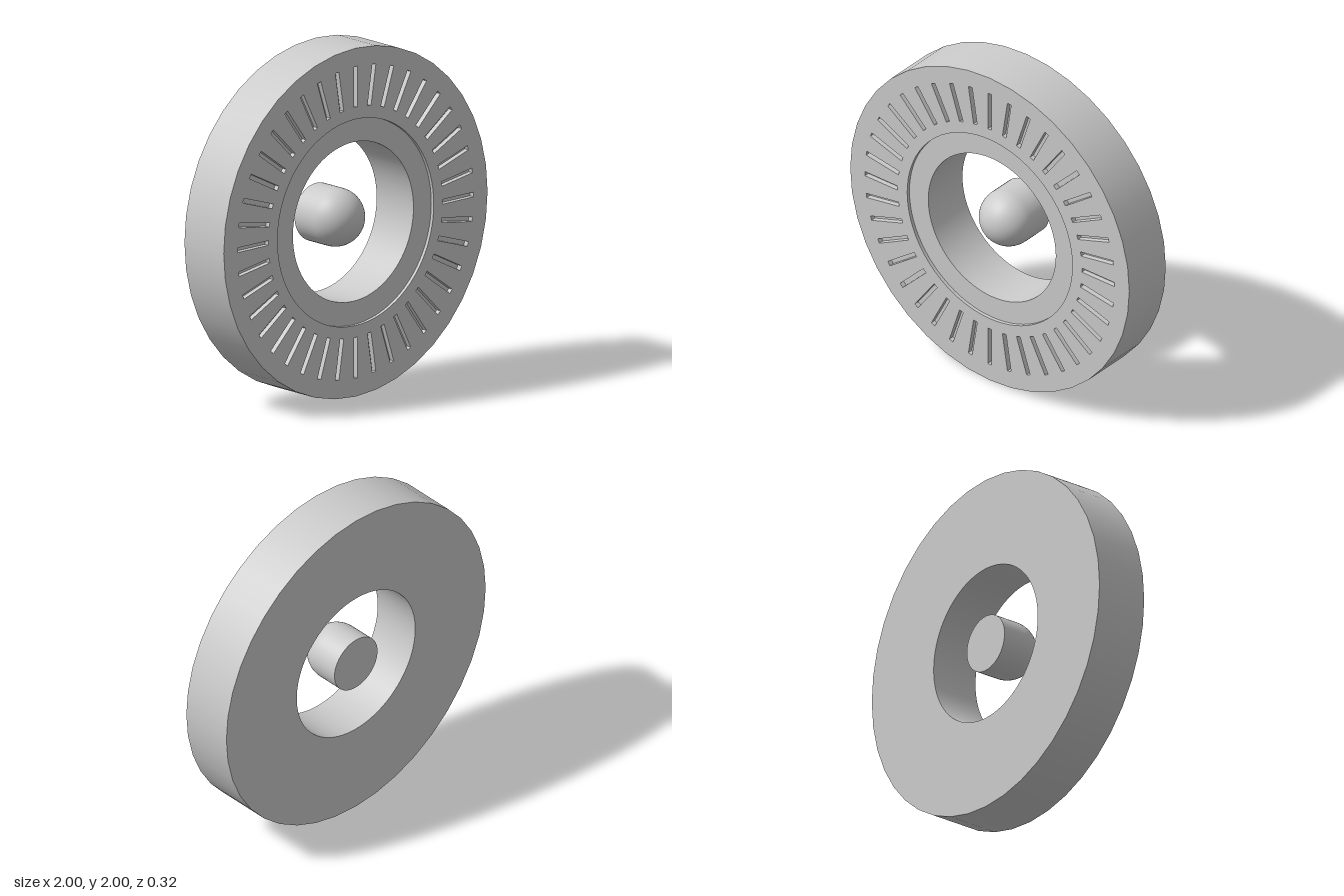
import * as THREE from 'three';

const HALF = 0.16;          // half thickness of the disc
const R_OUT = 1, R_STEP = 0.592, R_IN = 0.457;
const Z_STEP = 0.14;        // face of the recessed collar
const SLOTS = 40, SLOT_IN = 0.66, SLOT_OUT = 0.895, SLOT_W = 0.027, SLOT_DEPTH = 0.03;
const OUTER_SEG = 40, INNER_SEG = 80;

const material = new THREE.MeshStandardMaterial({ color: 0xcccccc });

function add(group, name, geometry) {
  const mesh = new THREE.Mesh(geometry, material);
  mesh.name = name;
  group.add(mesh);
  return mesh;
}

// points of a regular circle
function circle(r, n) {
  return Array.from({ length: n }, (_, i) => {
    const a = (i / n) * Math.PI * 2;
    return new THREE.Vector2(r * Math.cos(a), r * Math.sin(a));
  });
}

// flat ring facing +z
function ringShape(rOut, nOut, rIn, nIn) {
  const shape = new THREE.Shape(circle(rOut, nOut));
  shape.holes.push(new THREE.Path(circle(rIn, nIn)));
  return shape;
}

// profile of [radius, z] pairs turned around the z axis
function turned(profile, segments) {
  const points = profile.map(([r, z]) => new THREE.Vector2(r, z));
  return new THREE.LatheGeometry(points, segments).rotateX(Math.PI / 2);
}

// outline of one radial slot
function slotPath(angle) {
  const w = SLOT_W / 2;
  const corners = [[SLOT_IN, -w], [SLOT_OUT, -w], [SLOT_OUT, w], [SLOT_IN, w]];
  return new THREE.Path(corners.map(([x, y]) =>
    new THREE.Vector2(x, y).rotateAround(new THREE.Vector2(), angle)));
}

// open box seen from the inside: its +z face removed and the rest turned inward
function slotPocket() {
  const g = new THREE.BoxGeometry(SLOT_OUT - SLOT_IN, SLOT_W, SLOT_DEPTH);
  const index = Array.from(g.index.array);
  index.splice(24, 6);
  g.setIndex(index.reverse());
  g.clearGroups();
  const n = g.attributes.normal;
  for (let i = 0; i < n.count; i++) n.setXYZ(i, -n.getX(i), -n.getY(i), -n.getZ(i));
  return g.translate((SLOT_IN + SLOT_OUT) / 2, 0, HALF - SLOT_DEPTH / 2);
}

export function createModel() {
  const model = new THREE.Group();
  model.name = 'slottedDisc';
  const disc = new THREE.Group();
  disc.name = 'disc';
  const knob = new THREE.Group();
  knob.name = 'knob';
  model.add(disc, knob);

  // rim, bore and the small step around the collar
  add(disc, 'rim', turned([[R_OUT, -HALF], [R_OUT, HALF]], OUTER_SEG));
  add(disc, 'bore', turned([[R_IN, Z_STEP], [R_IN, -HALF]], INNER_SEG));
  add(disc, 'stepWall', turned([[R_STEP, HALF], [R_STEP, Z_STEP]], INNER_SEG));

  // front face with slot openings
  const front = ringShape(R_OUT, OUTER_SEG, R_STEP, INNER_SEG);
  const angles = Array.from({ length: SLOTS }, (_, i) => (i / SLOTS) * Math.PI * 2);
  angles.forEach((a) => front.holes.push(slotPath(a)));
  add(disc, 'frontFace', new THREE.ShapeGeometry(front).translate(0, 0, HALF));

  // recessed collar and plain back
  add(disc, 'collarFace', new THREE.ShapeGeometry(
    ringShape(R_STEP, INNER_SEG, R_IN, INNER_SEG)).translate(0, 0, Z_STEP));
  add(disc, 'backFace', new THREE.ShapeGeometry(
    ringShape(R_OUT, OUTER_SEG, R_IN, INNER_SEG)).rotateY(Math.PI).translate(0, 0, -HALF));

  // slot pockets
  const pocket = slotPocket();
  angles.forEach((a) => { add(disc, 'slot', pocket).rotation.z = a; });

  // free-standing centre knob: short cylinder with a domed front
  const r = 0.166, zc = HALF - r;
  const profile = [[r, -HALF]];
  for (let i = 0; i <= 16; i++) {
    const t = (i / 16) * Math.PI / 2;
    profile.push([i === 16 ? 0 : r * Math.cos(t), zc + r * Math.sin(t)]);
  }
  add(knob, 'knobDome', turned(profile, 48));
  add(knob, 'knobBack', new THREE.CircleGeometry(r, 48).rotateY(Math.PI).translate(0, 0, -HALF));

  model.position.y = R_OUT;
  const root = new THREE.Group();
  root.name = 'model';
  root.add(model);
  return root;
}
